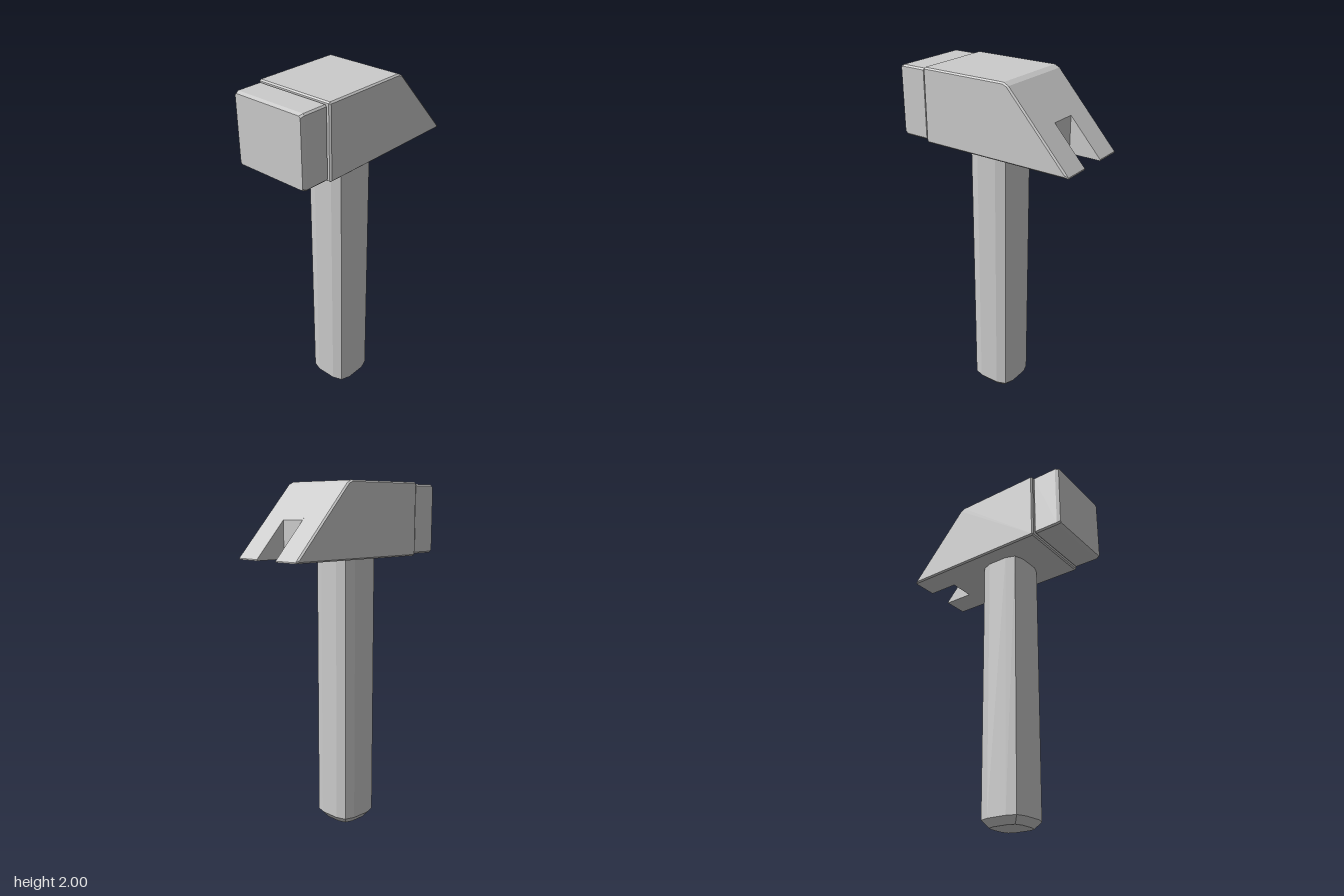
import * as THREE from 'three';

const material = new THREE.MeshStandardMaterial({ color: 0xcccccc, flatShading: true });

// Skin a list of equal-length rings (each counter-clockwise seen from the last ring's end) and cap both ends.
function loft(name, rings) {
  const n = rings[0].length;
  const last = (rings.length - 1) * n;
  const index = [];
  for (let r = 0; r < rings.length - 1; r++) {
    for (let i = 0; i < n; i++) {
      const a = r * n + i, b = r * n + (i + 1) % n;
      index.push(a, b, b + n, a, b + n, a + n);
    }
  }
  for (let i = 1; i < n - 1; i++) {
    index.push(0, i + 1, i, last, last + i, last + i + 1);
  }
  let geometry = new THREE.BufferGeometry();
  geometry.setAttribute('position', new THREE.Float32BufferAttribute(rings.flat(2), 3));
  geometry.setIndex(index);
  geometry = geometry.toNonIndexed();
  geometry.computeVertexNormals();
  const mesh = new THREE.Mesh(geometry, material);
  mesh.name = name;
  return mesh;
}

// Square outline with cut corners: h, w are half sizes, c is the cut.
function cutRect(h, w, c) {
  return [[h, -w + c], [h, w - c], [h - c, w], [-h + c, w], [-h, w - c], [-h, -w + c], [-h + c, -w], [h - c, -w]];
}

// Handle: square with softly rounded corners and a tapered butt
function createHandle() {
  const corner = [[0.135, 0.06], [0.115, 0.115], [0.06, 0.135]];
  const section = [];
  for (let q = 0; q < 4; q++) {
    for (const [u, v] of corner) {
      let p = [u, v];
      for (let k = 0; k < q; k++) p = [-p[1], p[0]];
      section.push(p);
    }
  }
  const ring = (y, s) => section.map(([z, x]) => [x * s - 0.04, y, z * s]);
  return loft('handle', [ring(0, 0.74), ring(0.04, 1), ring(1.6, 1)]);
}

// Head: wedge profile lofted across z, with its tip pulled back in the middle to form the claw notch
function createHead() {
  const full = [[-0.362, 1.585], [0.54, 1.585], [0.54, 1.592], [0.18, 1.985],
    [0.15, 2], [-0.362, 2], [-0.37, 1.993], [-0.37, 1.592]];
  const side = [[-0.36, 1.593], [0.52, 1.593], [0.52, 1.602], [0.172, 1.982],
    [0.148, 1.992], [-0.36, 1.992], [-0.362, 1.99], [-0.362, 1.595]];
  const notched = full.map((p) => p.slice());
  notched[1] = [0.355, 1.585];
  notched[2] = [0.355, 1.794];
  const ring = (profile, z) => profile.map(([x, y]) => [x, y, z]);
  return loft('head', [
    ring(side, -0.24), ring(full, -0.231),
    ring(full, -0.077), ring(notched, -0.077),
    ring(notched, 0.077), ring(full, 0.077),
    ring(full, 0.231), ring(side, 0.24),
  ]);
}

// Striking face: chamfered block narrowing to a thin groove against the head
function createStrikingFace() {
  const ring = (x, inset) => cutRect(0.197 - inset, 0.227 - inset, 0.009)
    .map(([y, z]) => [x, y + 1.793, z]);
  return loft('strikingFace', [
    ring(-0.545, 0.008), ring(-0.525, 0), ring(-0.38, 0), ring(-0.365, 0.016),
  ]);
}

export function createModel() {
  const group = new THREE.Group();
  group.name = 'hammer';
  group.add(createHandle(), createHead(), createStrikingFace());
  return group;
}
